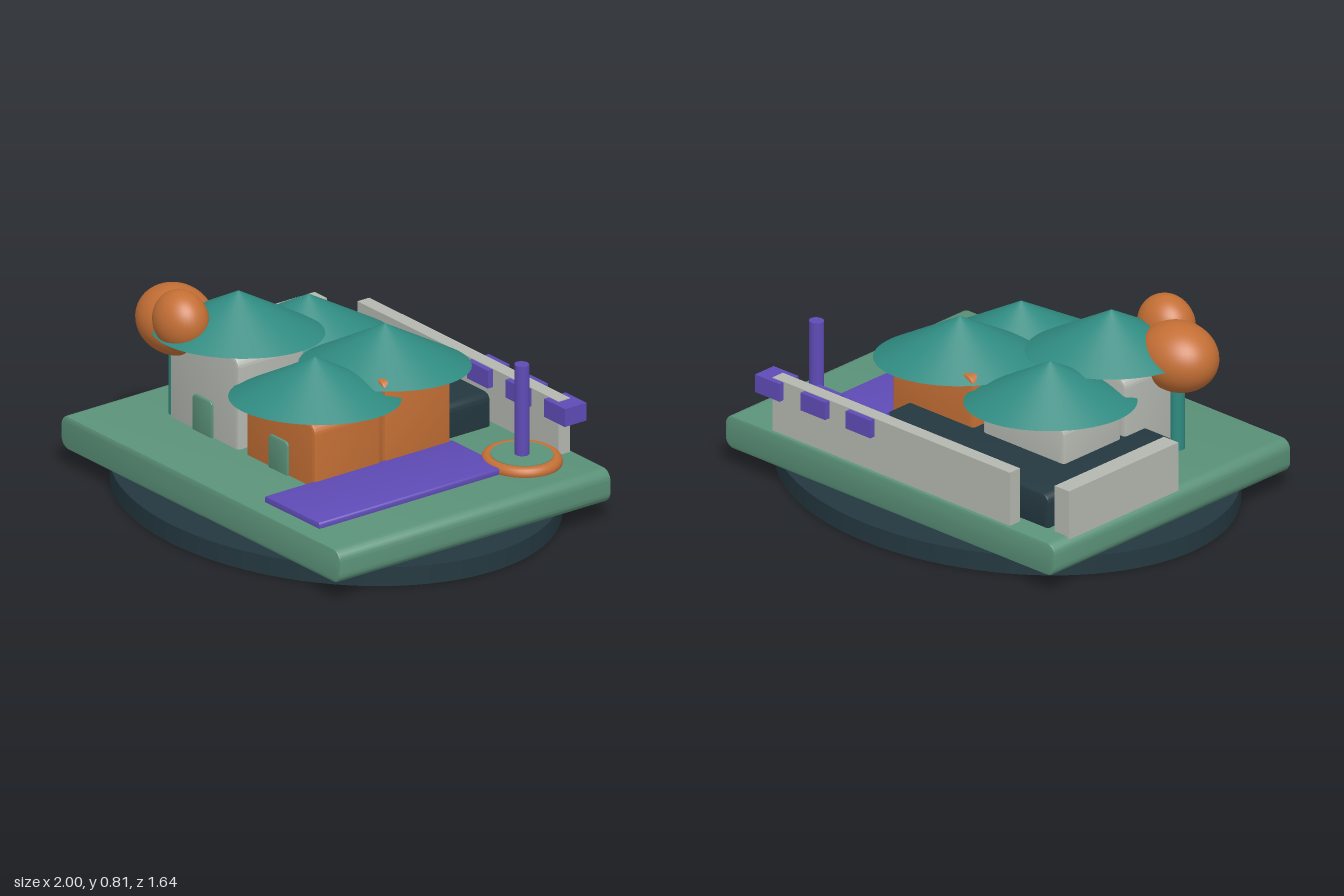
import * as THREE from 'three';
import { toCreasedNormals } from 'three/addons/utils/BufferGeometryUtils.js';

const mat = (name, color) => {
  const m = new THREE.MeshStandardMaterial({ color });
  m.name = name;
  return m;
};

export function createModel() {
  const model = new THREE.Group();
  model.name = 'village';
  const dark = mat('dark slate', 0x243840);
  const green = mat('grass green', 0x5b9279);
  const teal = mat('teal', 0x2f8a80);
  const purple = mat('purple', 0x5f4bb6);
  const grey = mat('stone grey', 0xb4b8b0);
  const orange = mat('burnt orange', 0xc46f35);

  const add = (name, geometry, material, x, y, z, parent = model) => {
    const mesh = new THREE.Mesh(geometry, material);
    mesh.name = name;
    mesh.position.set(x, y, z);
    parent.add(mesh);
    return mesh;
  };

  // Box given by its limits
  const box = (name, material, x0, x1, y0, y1, z0, z1) =>
    add(name, new THREE.BoxGeometry(x1 - x0, y1 - y0, z1 - z0), material,
      (x0 + x1) / 2, (y0 + y1) / 2, (z0 + z1) / 2);

  // Block with a rounded front outline, extruded along z with a small bevel
  const block = (name, material, x0, x1, y0, y1, z0, z1, r, bevel = 0.01) => {
    const a = (x1 - x0) / 2 - bevel, b = (y1 - y0) / 2 - bevel, q = Math.max(r - bevel, 0.002);
    const s = new THREE.Shape();
    s.absarc(a - q, b - q, q, 0, Math.PI / 2);
    s.absarc(-a + q, b - q, q, Math.PI / 2, Math.PI);
    s.absarc(-a + q, -b + q, q, Math.PI, Math.PI * 1.5);
    s.absarc(a - q, -b + q, q, Math.PI * 1.5, Math.PI * 2);
    s.closePath();
    const depth = z1 - z0 - 2 * bevel;
    const g = new THREE.ExtrudeGeometry(s, {
      depth, bevelEnabled: true, bevelSize: bevel, bevelThickness: bevel, bevelSegments: 2, curveSegments: 6,
    });
    g.translate(0, 0, -depth / 2);
    return add(name, toCreasedNormals(g, 0.5), material, (x0 + x1) / 2, (y0 + y1) / 2, (z0 + z1) / 2);
  };

  // Oval plinth and ground slab
  add('plinth', new THREE.CylinderGeometry(1, 1, 0.08, 96), dark, 0, 0.04, 0).scale.z = 0.82;
  block('ground', green, -0.895, 0.893, 0.08, 0.222, -0.68, 0.677, 0.045);
  block('terrace', dark, -0.766, 0.248, 0.18, 0.363, -0.58, 0.147, 0.035);
  block('path', purple, 0.305, 0.657, 0.205, 0.247, -0.338, 0.594, 0.01, 0.006);

  // Boundary walls and their purple blocks
  box('backWall', grey, -0.64, 0.647, 0.2, 0.453, -0.666, -0.607);
  box('sideWall', grey, -0.88, -0.802, 0.2, 0.42, -0.58, 0.046);
  for (const x of [0.16, 0.406, 0.653])
    box('wallBlock', purple, x - 0.067, x + 0.067, 0.374, 0.45, -0.69, -0.582);

  // Four houses: centre x, centre z, eaves height, wall top, wall colour
  const houses = [
    [-0.39, 0.19, 0.615, 0.612, grey],
    [0.1, 0.19, 0.495, 0.49, orange],
    [-0.39, -0.16, 0.51, 0.523, grey],
    [0.1, -0.16, 0.547, 0.58, orange],
  ];
  for (const [x, z, eaves, top, wall] of houses) {
    block('houseWalls', wall, x - 0.22, x + 0.22, 0.17, top, z - 0.165, z + 0.165, 0.045, 0.012);
    const roof = add('roof', new THREE.ConeGeometry(1, 0.176, 64), teal, x + 0.006, eaves + 0.088, z - 0.003);
    roof.scale.set(0.343, 1, 0.277);
    roof.rotation.y = Math.PI / 4;
  }

  // Front doors
  block('door', green, -0.452, -0.328, 0.19, 0.375, 0.347, 0.365, 0.02, 0.004);
  block('door', green, 0.034, 0.156, 0.19, 0.364, 0.347, 0.365, 0.02, 0.004);

  // Tree with two rounded crowns
  add('treeTrunk', new THREE.CylinderGeometry(0.03, 0.03, 0.38, 24), teal, -0.62, 0.4, 0.315);
  const ball = new THREE.SphereGeometry(1, 40, 24);
  add('treeCrown', ball, orange, -0.625, 0.622, 0.315).scale.set(0.175, 0.142, 0.147);
  add('treeCrown', ball, orange, -0.48, 0.686, 0.4).scale.set(0.126, 0.125, 0.105);

  // Round basin with a central column
  const basin = new THREE.Group();
  basin.name = 'basin';
  basin.position.set(0.61, 0, -0.453);
  basin.scale.z = 0.92;
  model.add(basin);
  const rim = add('basinRim', new THREE.TorusGeometry(0.143, 0.027, 16, 64), orange, 0, 0.232, 0, basin);
  rim.rotation.x = Math.PI / 2;
  add('basinFloor', new THREE.CylinderGeometry(0.131, 0.131, 0.05, 64), green, 0, 0.233, 0, basin);
  add('column', new THREE.CylinderGeometry(0.031, 0.031, 0.42, 24), purple, 0, 0.43, 0, basin);

  return model;
}
